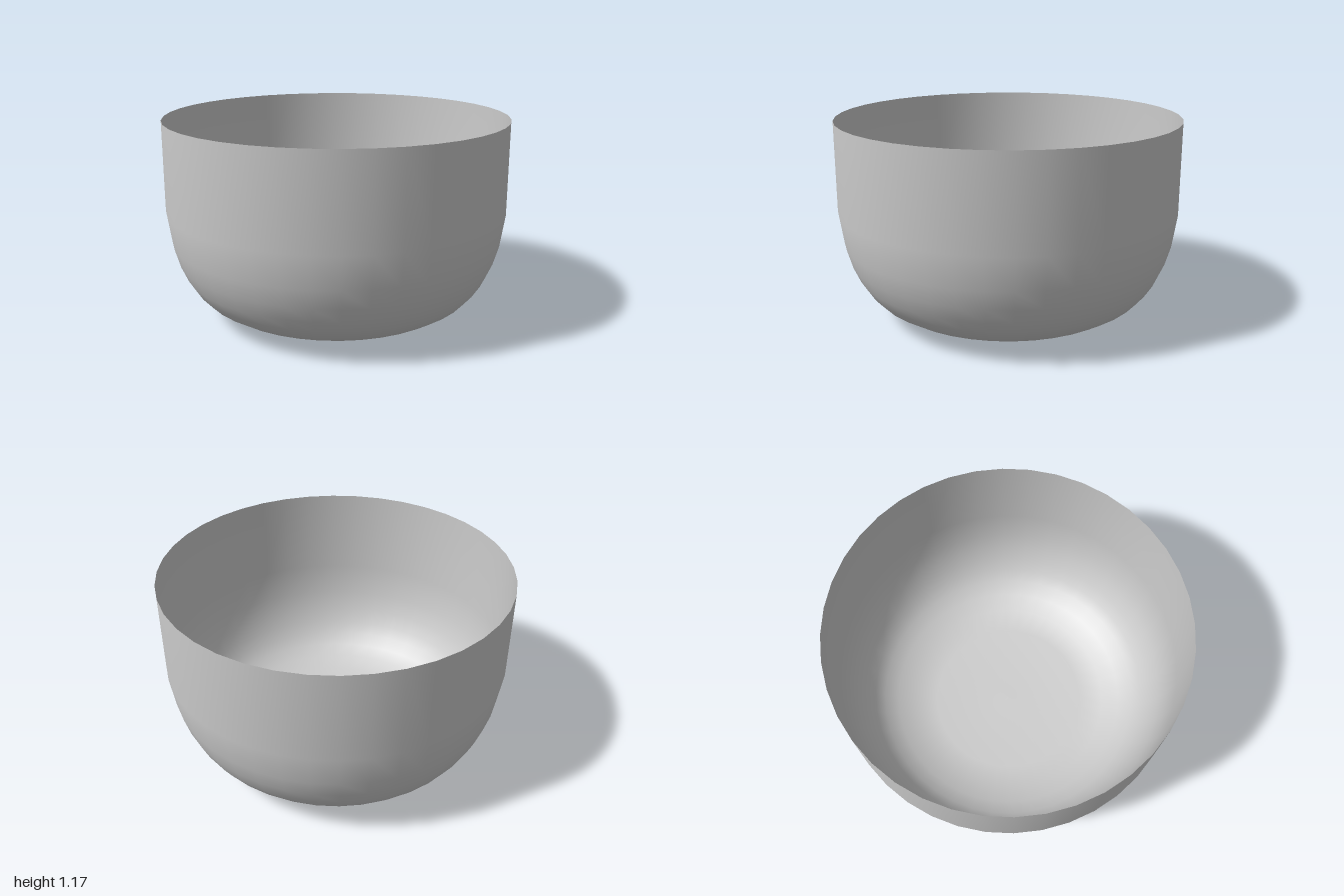
import * as THREE from 'three';

export function createModel() {
  const group = new THREE.Group();
  group.name = 'bowl';

  // Profile: flat base, rounded shoulder, straight wall up to the open rim
  const profile = [
    [0, 0], [0.47, 0], [0.62, 0.04], [0.72, 0.08], [0.8, 0.13], [0.855, 0.19],
    [0.9, 0.26], [0.94, 0.35], [0.972, 0.46], [1, 0.65], [1, 1.175],
  ].map(([r, y]) => new THREE.Vector2(r, y));

  // Thin-walled open shell, seen from inside and outside
  const shell = new THREE.Mesh(
    new THREE.LatheGeometry(profile, 40),
    new THREE.MeshStandardMaterial({ color: 0xcccccc, side: THREE.DoubleSide }),
  );
  shell.name = 'bowlShell';
  group.add(shell);
  return group;
}
